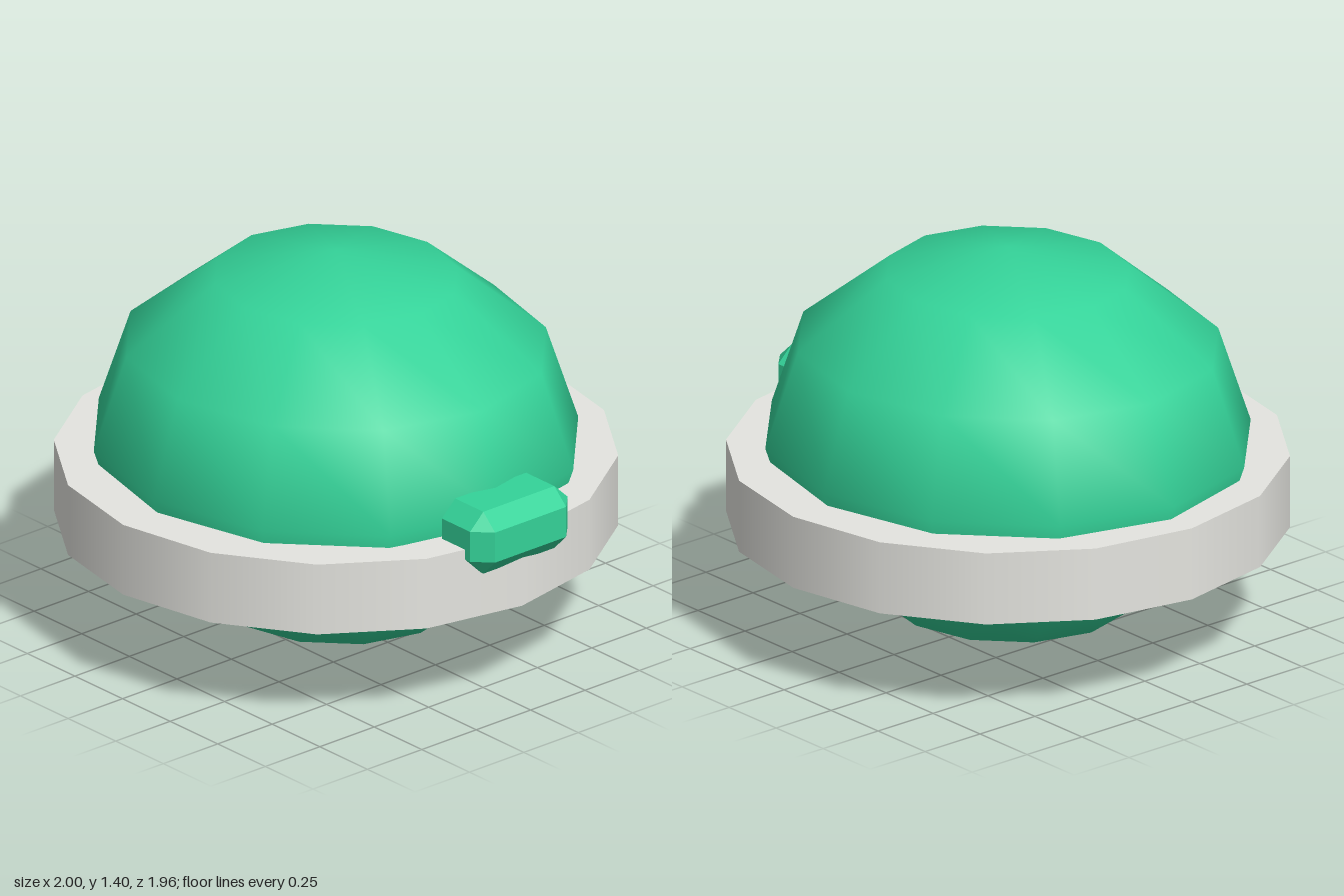
import * as THREE from 'three';
import { ConvexGeometry } from 'three/addons/geometries/ConvexGeometry.js';

const CENTRE_X = -0.022;

export function createModel() {
  const group = new THREE.Group();
  const green = new THREE.MeshStandardMaterial({ color: 0x34d399 });
  const greenFlat = new THREE.MeshStandardMaterial({ color: 0x34d399, flatShading: true });
  const pale = new THREE.MeshStandardMaterial({ color: 0xe5e5e0 });

  const add = (name, geometry, material, x = 0, y = 0) => {
    const mesh = new THREE.Mesh(geometry, material);
    mesh.name = name;
    mesh.position.set(x, y, 0);
    group.add(mesh);
  };

  // Low-poly ball, slightly squashed, dented behind the clasp
  const ball = new THREE.SphereGeometry(1, 12, 6);
  ball.scale(0.885, 0.698, 0.838);
  const p = ball.attributes.position;
  for (let i = 0; i < p.count; i++) {
    if (p.getX(i) > 0.88) p.setX(i, 0.859);
  }
  add('ball', ball, green, CENTRE_X, 0.702);

  // Flat-capped band around the lower half
  add('band', new THREE.CylinderGeometry(0.978, 0.978, 0.265, 16), pale, CENTRE_X, 0.518);

  // Clasp: block with every outer edge chamfered
  const points = [];
  for (const sz of [-1, 1]) {
    for (const x of [0.79, 0.938]) {
      points.push(
        new THREE.Vector3(x, 0.785, 0.163 * sz),
        new THREE.Vector3(x, 0.727, 0.224 * sz),
        new THREE.Vector3(x, 0.613, 0.224 * sz),
        new THREE.Vector3(x, 0.55, 0.163 * sz)
      );
    }
    points.push(new THREE.Vector3(1, 0.727, 0.163 * sz), new THREE.Vector3(1, 0.613, 0.163 * sz));
  }
  add('clasp', new ConvexGeometry(points), greenFlat);

  return group;
}
